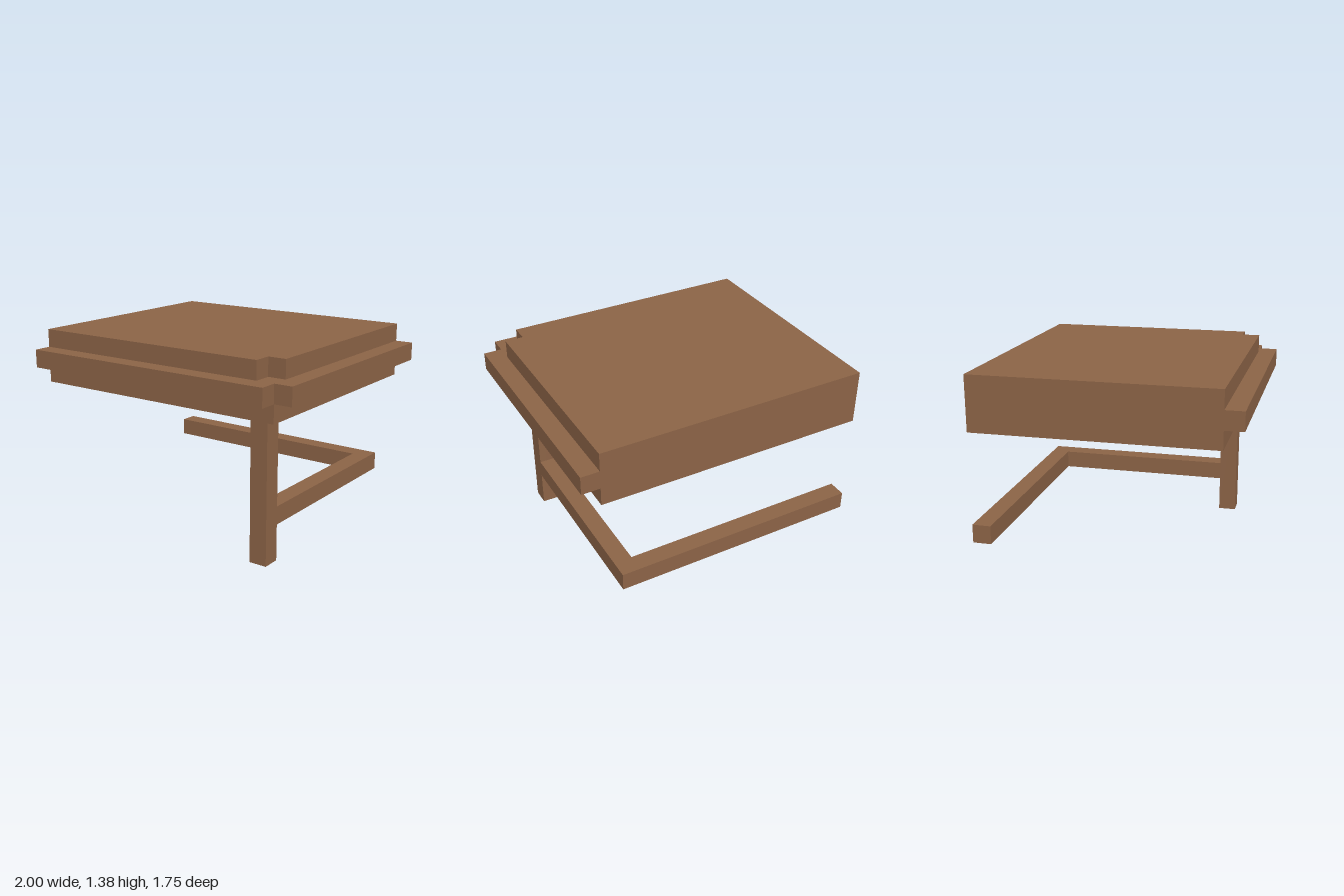
import * as THREE from 'three';

const U = 0.125; // one grid step

// Flat slab from a plan outline of [x, z] points, between heights y0 and y1
function slab(name, outline, y0, y1, material) {
  const shape = new THREE.Shape(outline.map(([x, z]) => new THREE.Vector2(x, z)));
  const geometry = new THREE.ExtrudeGeometry(shape, { depth: y1 - y0, bevelEnabled: false });
  geometry.rotateX(Math.PI / 2).translate(0, y1, 0);
  const mesh = new THREE.Mesh(geometry, material);
  mesh.name = name;
  return mesh;
}

// Plan of a top layer reaching x1 and z1, with an optional square notch in the front corner
function layerPlan(x1, z1, notch) {
  const corner = notch
    ? [[x1, z1 - U], [x1 - U, z1 - U], [x1 - U, z1]]
    : [[x1, z1]];
  return [[-1, -0.875], [x1, -0.875], ...corner, [-1, z1]];
}

export function createModel() {
  const group = new THREE.Group();
  group.name = 'cornerTable';
  const wood = new THREE.MeshStandardMaterial({ color: 0x8b6346 });
  wood.name = 'brown wood';

  // Stepped table top, three layers flush at the back and right
  group.add(
    slab('topLower', layerPlan(0.875, 0.75, false), 1, 1.125, wood),
    slab('topRim', layerPlan(1, 0.875, true), 1.125, 1.25, wood),
    slab('topUpper', layerPlan(0.875, 0.75, true), 1.25, 1.375, wood),
  );

  // Single corner leg
  const leg = new THREE.Mesh(new THREE.BoxGeometry(U, 1, U), wood);
  leg.name = 'leg';
  leg.position.set(0.6875, 0.5, 0.5625);
  group.add(leg);

  // L-shaped stretcher running back from the leg, then along the rear edge
  const stretcher = [[-1, -0.875], [0.75, -0.875], [0.75, 0.5], [0.625, 0.5], [0.625, -0.75], [-1, -0.75]];
  group.add(slab('stretcher', stretcher, 0.25, 0.375, wood));

  return group;
}
